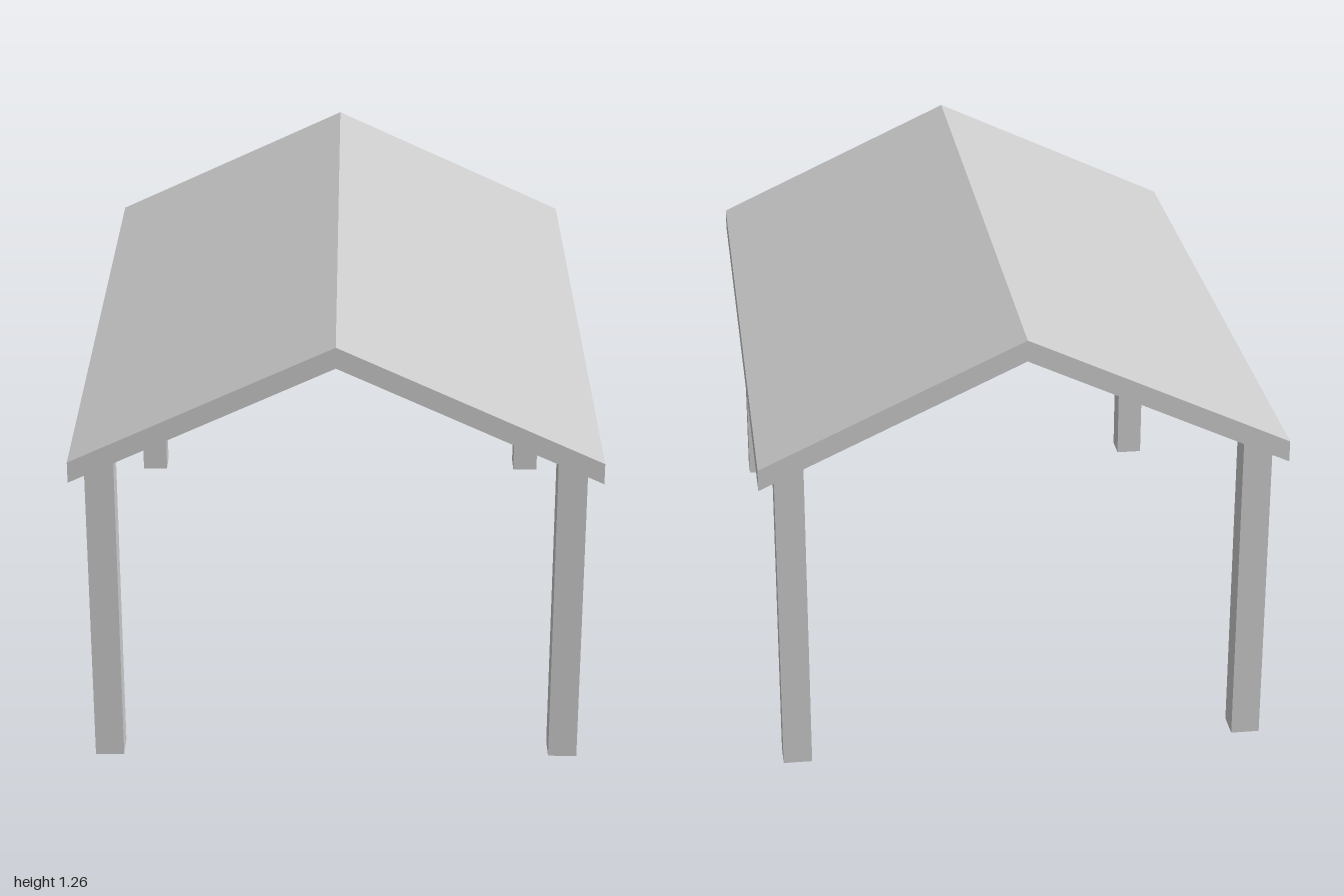
import * as THREE from 'three';

const HALF_WIDTH = 0.723, EAVE = 0.863, RIDGE = 1.2, THICK = 0.06;
const underside = (x) => RIDGE - (RIDGE - EAVE) * Math.abs(x) / HALF_WIDTH;

// Extrudes an x/y outline along z, centred on z = 0.
function prism(name, points, depth, material) {
  const shape = new THREE.Shape(points.map(([x, y]) => new THREE.Vector2(x, y)));
  const geometry = new THREE.ExtrudeGeometry(shape, { depth, bevelEnabled: false });
  geometry.translate(0, 0, -depth / 2);
  const mesh = new THREE.Mesh(geometry, material);
  mesh.name = name;
  return mesh;
}

export function createModel() {
  const group = new THREE.Group();
  group.name = 'openShelter';
  const material = new THREE.MeshStandardMaterial({ color: 0xcccccc, flatShading: true });

  // Gabled roof slab with vertical eave faces
  group.add(prism('roof', [
    [-HALF_WIDTH, EAVE], [0, RIDGE], [HALF_WIDTH, EAVE],
    [HALF_WIDTH, EAVE + THICK], [0, RIDGE + THICK], [-HALF_WIDTH, EAVE + THICK],
  ], 2, material));

  // Corner posts, their tops cut to the roof slope
  const inner = 0.6, outer = 0.68, postDepth = 0.08;
  for (const side of [-1, 1]) {
    for (const end of [-1, 1]) {
      const name = (end > 0 ? 'front' : 'back') + (side > 0 ? 'Left' : 'Right') + 'Post';
      const post = prism(name, [
        [side * inner, 0], [side * outer, 0],
        [side * outer, underside(outer)], [side * inner, underside(inner)],
      ], postDepth, material);
      post.position.z = end * 0.94;
      group.add(post);
    }
  }
  return group;
}
